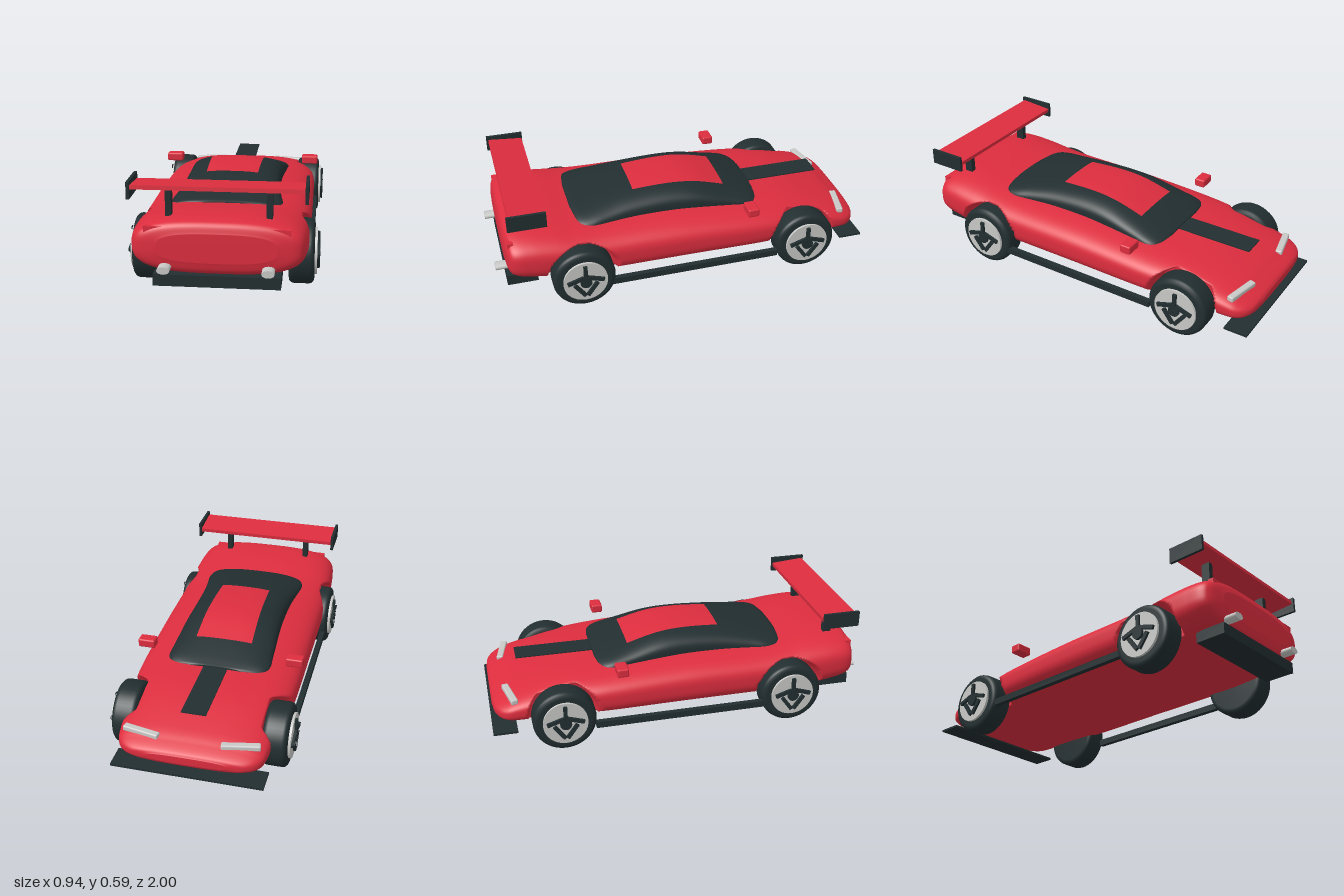
import * as THREE from 'three';
import { RoundedBoxGeometry } from 'three/addons/geometries/RoundedBoxGeometry.js';

const material = (name, color, extra = {}) => {
  const m = new THREE.MeshStandardMaterial({ color, ...extra });
  m.name = name;
  return m;
};

// Stations along z: [z, half width, bottom y, top y]
const BODY = [
  [-0.99, 0.2, 0.165, 0.205], [-0.975, 0.29, 0.145, 0.222], [-0.93, 0.35, 0.125, 0.245],
  [-0.85, 0.372, 0.115, 0.278], [-0.64, 0.387, 0.115, 0.332], [-0.43, 0.418, 0.115, 0.356],
  [0, 0.422, 0.115, 0.383], [0.4, 0.422, 0.115, 0.388], [0.57, 0.424, 0.115, 0.397],
  [0.7, 0.42, 0.122, 0.414], [0.82, 0.413, 0.135, 0.422], [0.9, 0.4, 0.152, 0.416],
  [0.935, 0.365, 0.175, 0.398], [0.95, 0.28, 0.22, 0.36],
];
const CANOPY = [
  [-0.435, 0.17, 0.28, 0.364], [-0.42, 0.235, 0.28, 0.37], [-0.37, 0.27, 0.28, 0.388],
  [-0.26, 0.266, 0.28, 0.422], [-0.1, 0.257, 0.28, 0.466], [0.05, 0.251, 0.28, 0.478],
  [0.24, 0.254, 0.28, 0.467], [0.38, 0.268, 0.28, 0.446], [0.48, 0.282, 0.285, 0.426],
  [0.55, 0.268, 0.29, 0.411], [0.575, 0.2, 0.3, 0.4],
];

// Smoothly interpolated station, t from 0 to 1
function stations(rows) {
  const curve = (f) => new THREE.CatmullRomCurve3(rows.map(f), false, 'catmullrom', 0.5);
  const low = curve((r) => new THREE.Vector3(r[1], r[2], r[0]));
  const high = curve((r) => new THREE.Vector3(r[1], r[3], r[0]));
  return (t) => {
    const a = low.getPoint(t), b = high.getPoint(t);
    return { z: a.z, w: a.x, mid: (a.y + b.y) / 2, h: (b.y - a.y) / 2 };
  };
}

// Closed loft of superellipse sections, with an optional rule to move points
function loft(rows, power, rings, sides, rule = (p) => p) {
  const at = stations(rows), pos = [], index = [];
  const bend = (v) => Math.sign(v) * Math.abs(v) ** (2 / power);
  for (let i = 0; i <= rings; i++) {
    const s = at(i / rings);
    for (let j = 0; j < sides; j++) {
      const a = (j / sides) * Math.PI * 2;
      const p = new THREE.Vector3(s.w * bend(Math.cos(a)), s.mid + s.h * bend(Math.sin(a)), s.z);
      pos.push(...rule(p).toArray());
    }
  }
  for (let i = 0; i < rings; i++) {
    for (let j = 0; j < sides; j++) {
      const k = (j + 1) % sides, a = i * sides, b = a + sides;
      index.push(a + j, a + k, b + j, a + k, b + k, b + j);
    }
  }
  const first = at(0), last = at(1), c = (rings + 1) * sides;
  pos.push(0, first.mid, first.z, 0, last.mid, last.z);
  for (let j = 0; j < sides; j++) {
    const k = (j + 1) % sides, e = rings * sides;
    index.push(c, k, j, c + 1, e + j, e + k);
  }
  const g = new THREE.BufferGeometry();
  g.setAttribute('position', new THREE.Float32BufferAttribute(pos, 3));
  g.setIndex(index);
  g.computeVertexNormals();
  return g;
}

const AXLES = [-0.64, 0.57];
const WHEEL_Y = 0.163;

// Press wheel wells into the flanks
function wheelWells(p) {
  for (const z of AXLES) {
    const d = Math.hypot(p.z - z, p.y - WHEEL_Y);
    const limit = 0.315 + 0.125 * THREE.MathUtils.smoothstep(d, 0.165, 0.197);
    if (d < 0.197 && Math.abs(p.x) > limit) p.x = Math.sign(p.x) * limit;
  }
  return p;
}

// Roof panel lying just above the canopy
function roofPanel() {
  const at = stations(CANOPY), g = new THREE.PlaneGeometry(1, 1, 20, 30);
  const pos = g.attributes.position, n = CANOPY.length - 1;
  for (let i = 0; i < pos.count; i++) {
    const v = 0.5 - pos.getY(i);
    const s = at((3 + 3 * v) / n);
    const x = pos.getX(i) * (0.3 - 0.03 * v);
    const y = s.mid + s.h * (1 - Math.abs(x / s.w) ** 2.7) ** (1 / 2.7);
    pos.setXYZ(i, x, y + 0.003, s.z);
  }
  g.computeVertexNormals();
  return g;
}

export function createModel() {
  const car = new THREE.Group();
  car.name = 'sportsCar';
  const red = material('bodyRed', 0xdc2d3e);
  const dark = material('darkTrim', 0x222e30);
  const silver = material('silver', 0xc8c8c6);

  const add = (name, geometry, mat, x = 0, y = 0, z = 0, parent = car) => {
    const mesh = new THREE.Mesh(geometry, mat);
    mesh.name = name;
    mesh.position.set(x, y, z);
    parent.add(mesh);
    return mesh;
  };
  const box = (name, mat, w, h, d, x, y, z) => add(name, new THREE.BoxGeometry(w, h, d), mat, x, y, z);

  // Shell and cabin
  add('body', loft(BODY, 2.9, 260, 128, wheelWells), red);
  add('canopy', loft(CANOPY, 2.7, 80, 72), dark);
  add('roofPanel', roofPanel(), red);
  box('hoodStripe', dark, 0.124, 0.005, 0.44, 0, 0.357, -0.62);

  // Lower aero parts and rear strip
  box('frontSplitter', dark, 0.76, 0.011, 0.125, 0, 0.1, -0.9375);
  box('diffuser', dark, 0.595, 0.057, 0.16, 0, 0.13, 0.87);
  box('rearStrip', red, 0.68, 0.03, 0.03, 0, 0.37, 0.918);

  // Rear wing
  box('wingBlade', red, 0.8, 0.02, 0.18, 0, 0.557, 0.83).rotation.x = -0.085;

  // Wheel shapes, turned about x
  const half = 0.0625;
  const profile = [
    [0, -half], [0.136, -half], [0.15, -half + 0.003], [0.159, -half + 0.011], [0.163, -half + 0.024],
  ];
  const tirePoints = [...profile, ...profile.slice().reverse().map(([r, y]) => [r, -y])]
    .map(([r, y]) => new THREE.Vector2(r, y));
  const tire = new THREE.LatheGeometry(tirePoints, 48).rotateZ(-Math.PI / 2);
  const rim = new THREE.CylinderGeometry(0.115, 0.115, 0.04, 40).rotateZ(-Math.PI / 2);
  const hub = new THREE.CylinderGeometry(0.03, 0.03, 0.03, 24).rotateZ(-Math.PI / 2);
  const spoke = new THREE.BoxGeometry(0.024, 0.02, 0.09);

  for (const side of [-1, 1]) {
    const tag = side > 0 ? 'left' : 'right';
    const sideBox = (name, mat, w, h, d, x, y, z) => box(tag + name, mat, w, h, d, side * x, y, z);

    sideBox('WingEndplate', dark, 0.015, 0.082, 0.195, 0.4075, 0.55, 0.833);
    sideBox('WingStrut', dark, 0.028, 0.145, 0.045, 0.236, 0.474, 0.828);
    sideBox('Skirt', dark, 0.028, 0.034, 0.93, 0.424, 0.117, -0.015);

    // Mirror, headlight and exhaust
    add(tag + 'Mirror', new RoundedBoxGeometry(0.09, 0.046, 0.06, 3, 0.009), red, side * 0.393, 0.398, -0.335);
    const lamp = add(tag + 'Headlight', new RoundedBoxGeometry(0.19, 0.03, 0.036, 3, 0.008), silver,
      side * 0.247, 0.25, -0.896);
    lamp.rotation.y = -side * 0.2;
    const pipe = add(tag + 'Exhaust', new THREE.CylinderGeometry(0.03, 0.03, 0.08, 32).rotateX(Math.PI / 2),
      silver, side * 0.24, 0.195, 0.96);
    pipe.scale.y = 0.6;

    // Wheels
    AXLES.forEach((z, i) => {
      const wheel = new THREE.Group();
      wheel.name = tag + (i ? 'RearWheel' : 'FrontWheel');
      wheel.position.set(side * 0.3825, WHEEL_Y, z);
      car.add(wheel);
      add('tire', tire, dark, 0, 0, 0, wheel);
      add('rim', rim, silver, side * 0.055, 0, 0, wheel);
      add('hub', hub, dark, side * 0.074, 0, 0, wheel);
      for (let k = 0; k < 5; k++) {
        const a = Math.PI / 2 + (k * Math.PI * 2) / 5;
        const arm = add('spoke', spoke, dark, side * 0.076, Math.sin(a) * 0.055, Math.cos(a) * 0.055, wheel);
        arm.rotation.x = a;
      }
    });
  }
  return car;
}
